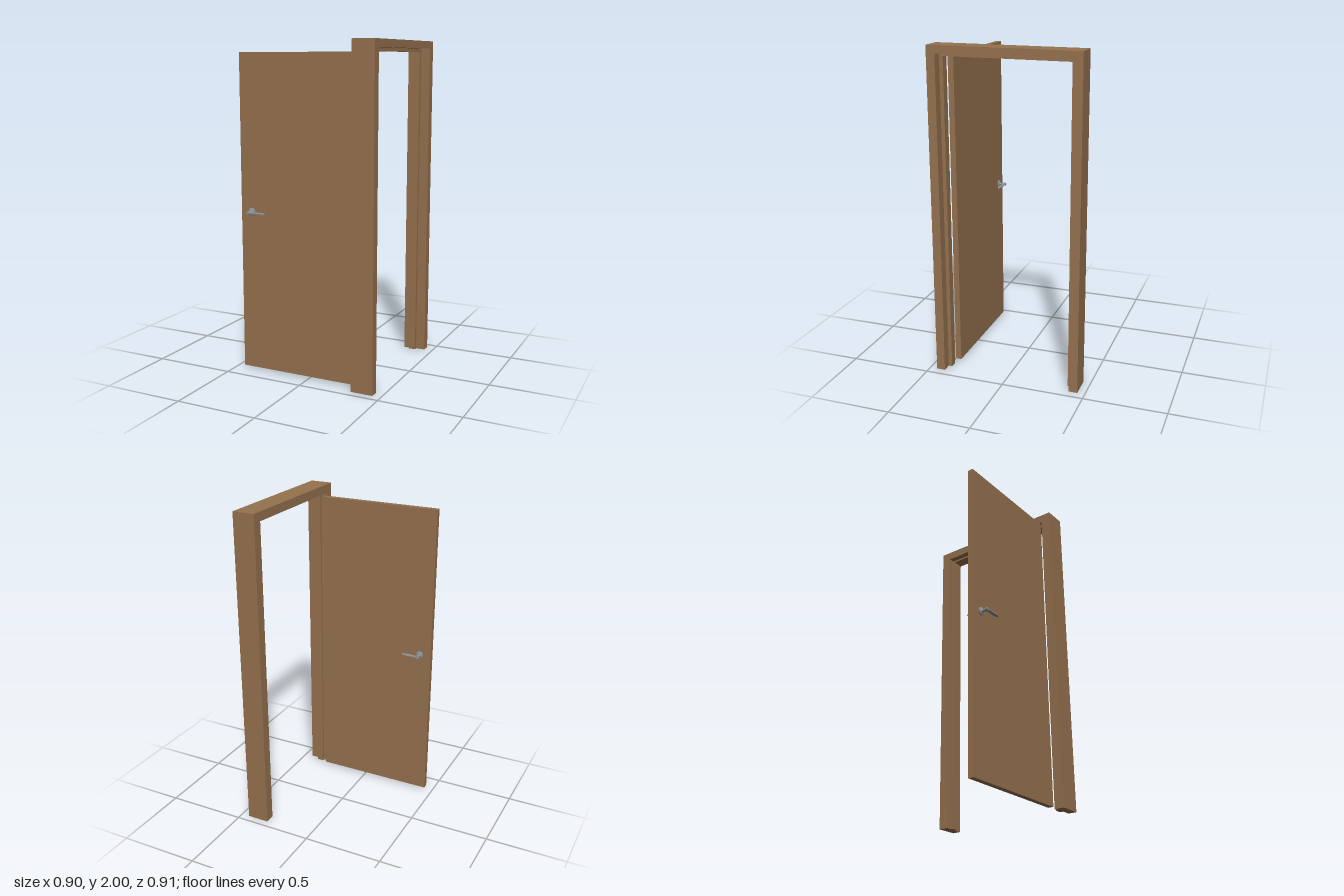
import * as THREE from 'three';

const wood = new THREE.MeshStandardMaterial({ color: 0x96724f });
wood.name = 'wood';
const metal = new THREE.MeshStandardMaterial({ color: 0x8f9193 });
metal.name = 'metal';

function addMesh(parent, name, geometry, material) {
  const mesh = new THREE.Mesh(geometry, material);
  mesh.name = name;
  parent.add(mesh);
  return mesh;
}

// Upside-down U in the z-y plane, running from x0 to x1
function portal(outer, outerTop, inner, innerTop, x0, x1) {
  const points = [
    [-outer, 0], [-inner, 0], [-inner, innerTop], [inner, innerTop],
    [inner, 0], [outer, 0], [outer, outerTop], [-outer, outerTop],
  ].map(([a, b]) => new THREE.Vector2(a, b));
  const geometry = new THREE.ExtrudeGeometry(new THREE.Shape(points), {
    depth: x1 - x0, bevelEnabled: false,
  });
  return geometry.rotateY(Math.PI / 2).translate(x0, 0, 0);
}

// Lever handle growing along +z from the door face, at the spindle axis
function makeHandle(name) {
  const handle = new THREE.Group();
  handle.name = name;

  // Rose and neck, turned as one profile
  const profile = [
    [0, 0], [0.025, 0], [0.025, 0.006], [0.022, 0.01], [0.011, 0.01],
    [0.01, 0.014], [0.007, 0.016], [0.007, 0.026], [0.009, 0.034], [0, 0.034],
  ].map(([r, h]) => new THREE.Vector2(r, h));
  addMesh(handle, 'roseAndNeck',
    new THREE.LatheGeometry(profile, 32).rotateX(Math.PI / 2), metal);

  // Hub where the lever meets the neck
  addMesh(handle, 'leverHub',
    new THREE.CylinderGeometry(0.01, 0.011, 0.018, 24)
      .rotateX(Math.PI / 2).translate(-0.001, 0, 0.042), metal);

  // Lever outline seen from above, waisted near the hub and swelling at the grip
  const outline = new THREE.Shape();
  outline.moveTo(-0.011, 0.034);
  outline.lineTo(0.006, 0.033);
  outline.splineThru([[0.03, 0.033], [0.055, 0.031], [0.075, 0.0305],
    [0.095, 0.033], [0.107, 0.038], [0.107, 0.045], [0.095, 0.049],
    [0.07, 0.0505], [0.04, 0.0495], [0.01, 0.051],
    [-0.011, 0.051]].map(([a, b]) => new THREE.Vector2(a, b)));
  outline.closePath();
  const lever = new THREE.ExtrudeGeometry(outline, {
    depth: 0.004, curveSegments: 40, bevelSize: 0.0015,
    bevelThickness: 0.002, bevelSegments: 2,
  });
  addMesh(handle, 'lever',
    lever.rotateX(Math.PI / 2).translate(0, 0.002, 0), metal);
  return handle;
}

export function createModel() {
  const model = new THREE.Group();
  model.name = 'openDoorWithFrame';

  // Door frame: full-depth casing, rebate lining and door stop
  const frame = new THREE.Group();
  frame.name = 'doorFrame';
  addMesh(frame, 'casing', portal(0.454, 2, 0.401, 1.955, 0.31, 0.448), wood);
  addMesh(frame, 'rebateLining', portal(0.401, 1.955, 0.392, 1.946, 0.31, 0.348), wood);
  addMesh(frame, 'doorStop', portal(0.401, 1.955, 0.378, 1.934, 0.348, 0.39), wood);
  model.add(frame);

  // Door leaf swung open at a right angle to the frame
  const door = new THREE.Group();
  door.name = 'door';
  addMesh(door, 'doorLeaf',
    new THREE.BoxGeometry(0.758, 1.917, 0.035).translate(-0.069, 0.9725, 0.3675), wood);

  // One handle on each face
  const front = makeHandle('frontHandle');
  front.position.set(-0.375, 0.989, 0.385);
  const back = makeHandle('backHandle');
  back.position.set(-0.375, 0.989, 0.35);
  back.scale.z = -1;
  door.add(front, back);
  model.add(door);

  return model;
}
